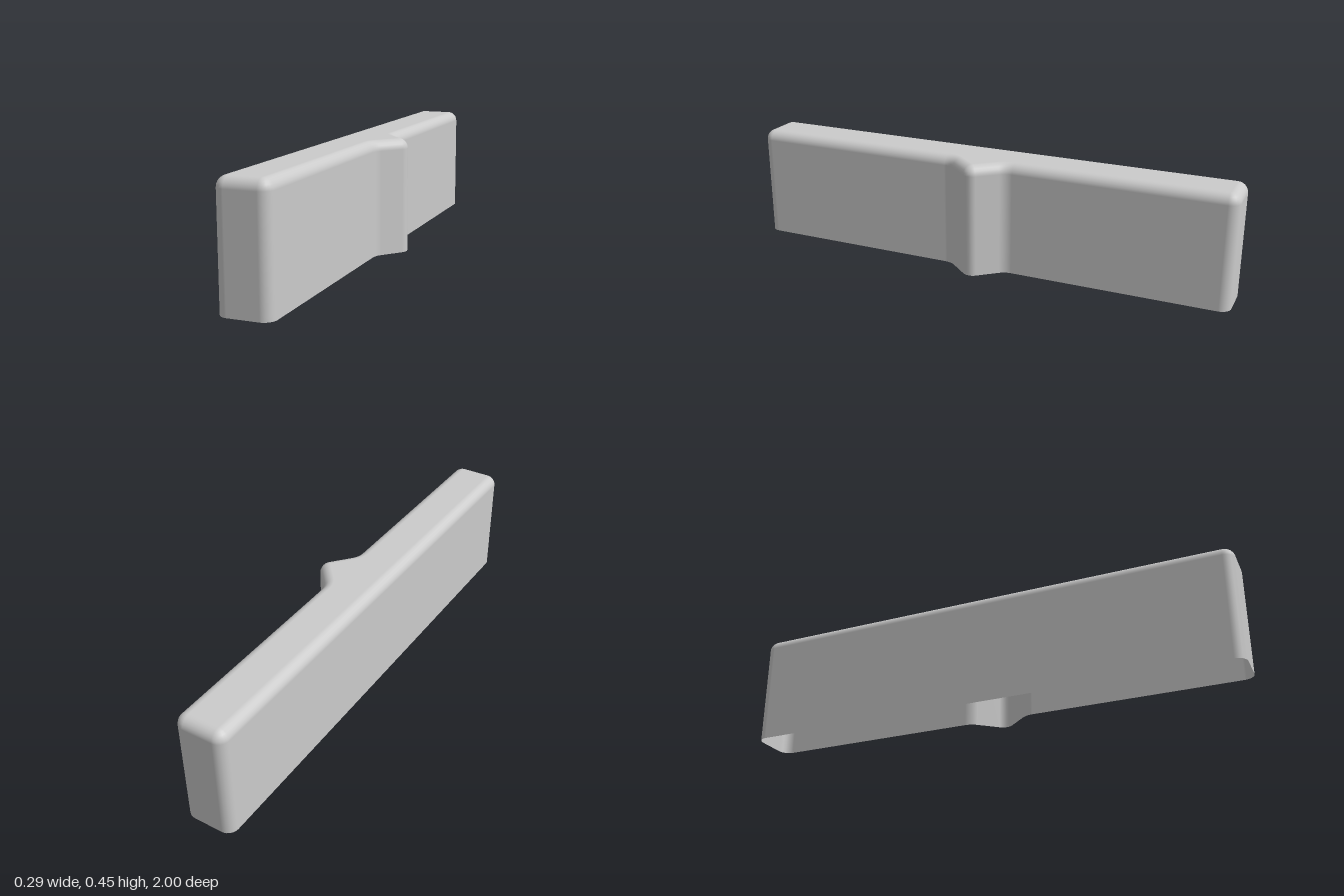
import * as THREE from 'three';

const HEIGHT = 0.45, BEVEL = 0.04, STEPS = 6;

// Plan corners [x, z, fillet radius]; a negative radius is a concave fillet
const CORNERS = [
  [-0.143, 1, 0.041], [0.055, 1, 0.041],
  [0.055, 0.118, -0.07], [0.1555, 0, 0.041], [0.055, -0.118, -0.07],
  [0.055, -1, 0.041], [-0.143, -1, 0.041],
];

// Filleted outline as points with outward normals
function filletedOutline(corners) {
  const pts = corners.map(([x, z]) => new THREE.Vector2(x, z));
  const n = pts.length;
  const outward = (a, b) => {
    const d = b.clone().sub(a).normalize();
    return new THREE.Vector2(-d.y, d.x);
  };
  const outline = [];
  pts.forEach((p, i) => {
    const r = corners[i][2];
    const n0 = outward(pts[(i + n - 1) % n], p);
    const n1 = outward(p, pts[(i + 1) % n]);
    const centre = n0.clone().add(n1).multiplyScalar(-r / (1 + n0.dot(n1))).add(p);
    for (let k = 0; k <= STEPS; k++) {
      const normal = n0.clone().lerp(n1, k / STEPS).normalize();
      outline.push({ point: centre.clone().addScaledVector(normal, r), normal });
    }
  });
  return outline;
}

function shellGeometry() {
  const outline = filletedOutline(CORNERS);
  const n = outline.length;
  const positions = [], normals = [], index = [];
  const addRing = (y, inset, tilt) => outline.forEach(({ point, normal }) => {
    positions.push(point.x - normal.x * inset, y, point.y - normal.y * inset);
    normals.push(normal.x * Math.cos(tilt), Math.sin(tilt), normal.y * Math.cos(tilt));
  });

  // Upright wall, then a quarter-round rim
  addRing(0, 0, 0);
  for (let k = 0; k <= STEPS; k++) {
    const t = (k / STEPS) * Math.PI / 2;
    addRing(HEIGHT - BEVEL * (1 - Math.sin(t)), BEVEL * (1 - Math.cos(t)), t);
  }
  for (let ring = 0; ring <= STEPS; ring++) {
    for (let i = 0; i < n; i++) {
      const a = ring * n + i, b = ring * n + (i + 1) % n;
      index.push(a, b, b + n, a, b + n, a + n);
    }
  }

  // Flat top closing the last ring; the underside stays open
  const start = (STEPS + 1) * n;
  const contour = outline.map(({ point, normal }) =>
    new THREE.Vector2(point.x - normal.x * BEVEL, -(point.y - normal.y * BEVEL)));
  for (const face of THREE.ShapeUtils.triangulateShape(contour, [])) {
    index.push(...face.map((v) => v + start));
  }

  const geometry = new THREE.BufferGeometry();
  geometry.setAttribute('position', new THREE.Float32BufferAttribute(positions, 3));
  geometry.setAttribute('normal', new THREE.Float32BufferAttribute(normals, 3));
  geometry.setIndex(index);
  return geometry;
}

export function createModel() {
  const group = new THREE.Group();
  group.name = 'barCover';
  const material = new THREE.MeshStandardMaterial({ color: 0xcccccc, side: THREE.DoubleSide });
  const shell = new THREE.Mesh(shellGeometry(), material);
  shell.name = 'openShellWithSideRidge';
  group.add(shell);
  return group;
}
